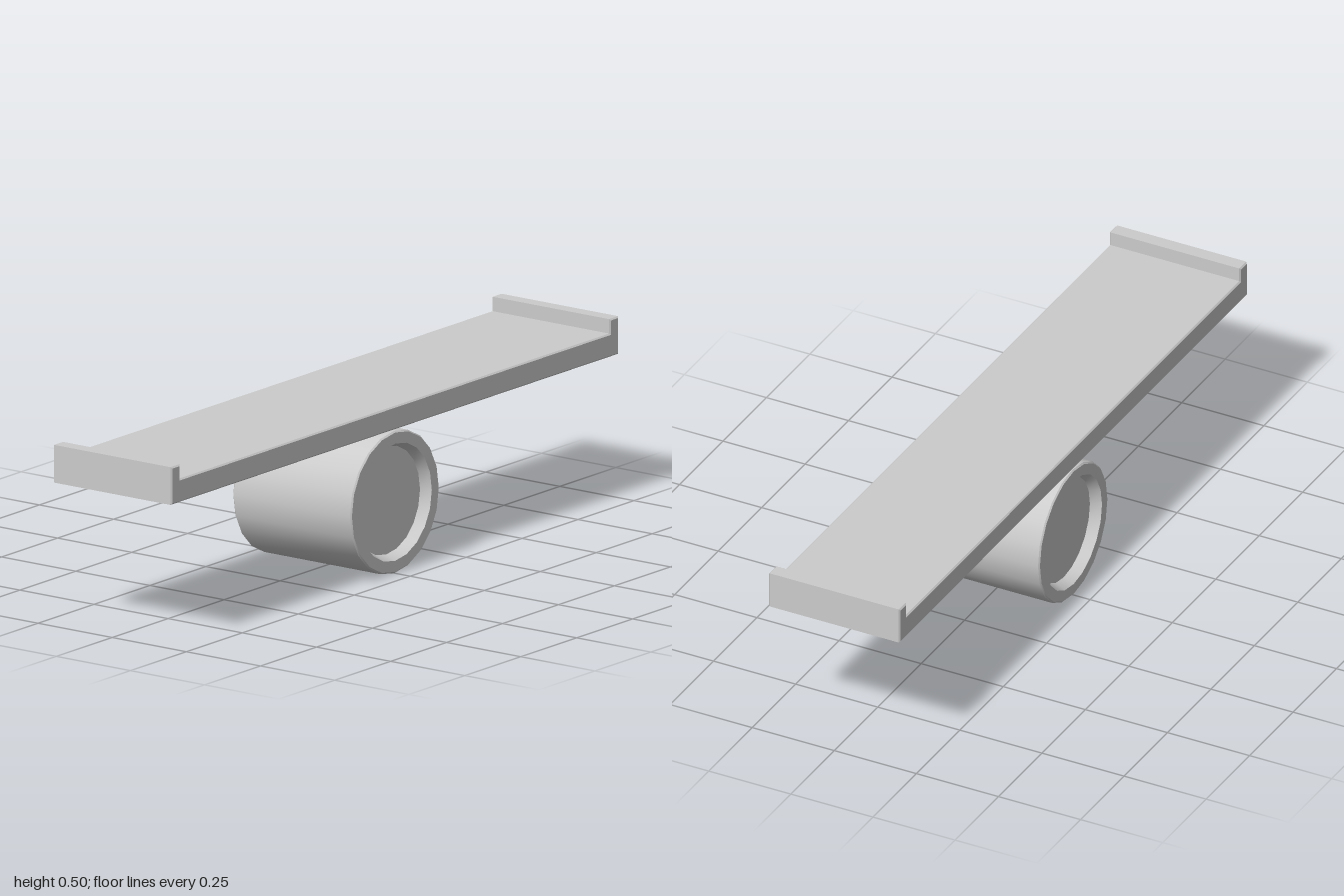
import * as THREE from 'three';
import { toCreasedNormals } from 'three/addons/utils/BufferGeometryUtils.js';

export function createModel() {
  const model = new THREE.Group();
  model.name = 'balanceBoard';
  const material = new THREE.MeshStandardMaterial({ color: 0xcccccc });

  function add(name, geometry) {
    const mesh = new THREE.Mesh(geometry, material);
    mesh.name = name;
    model.add(mesh);
    return mesh;
  }

  const halfDepth = 0.2;

  // Roller: solid drum with a shallow tapered recess in each end
  const radius = 0.198;
  const bevel = 0.004;
  const half = [
    [0, halfDepth - 0.03],
    [0.15, halfDepth - 0.03],
    [0.163, halfDepth],
    [radius - bevel, halfDepth],
    [radius, halfDepth - bevel],
  ];
  const profile = [
    ...half.map(([r, y]) => new THREE.Vector2(r, -y)),
    ...half.slice().reverse().map(([r, y]) => new THREE.Vector2(r, y)),
  ];
  const drum = new THREE.LatheGeometry(profile, 20);
  drum.rotateX(Math.PI / 2);
  add('roller', toCreasedNormals(drum, 0.5)).position.y = radius;

  // Plank: one cross-section with a raised stop at both ends
  const bottom = 0.4, deck = 0.465, top = 0.505, stop = 0.96;
  const outline = new THREE.Shape([
    [-1, bottom], [1, bottom], [1, top], [stop, top],
    [stop, deck], [-stop, deck], [-stop, top], [-1, top],
  ].map(([x, y]) => new THREE.Vector2(x, y)));
  const plank = new THREE.ExtrudeGeometry(outline, {
    depth: 2 * (halfDepth - bevel),
    bevelEnabled: true,
    bevelThickness: bevel,
    bevelSize: bevel,
    bevelOffset: -bevel,
    bevelSegments: 1,
  });
  plank.translate(0, 0, -(halfDepth - bevel));
  add('plank', plank);

  return model;
}
